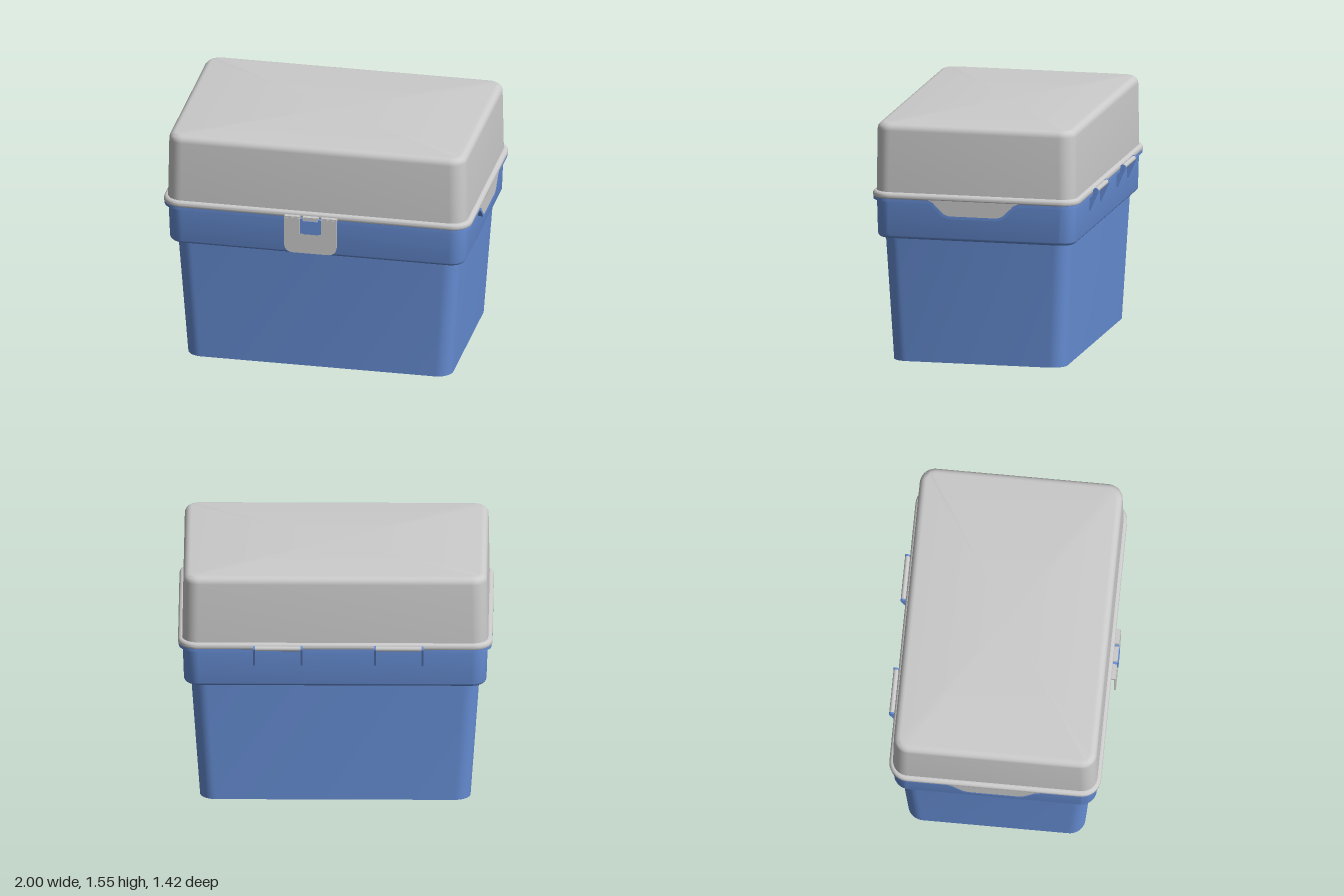
import * as THREE from 'three';
import { mergeVertices, toCreasedNormals } from 'three/addons/utils/BufferGeometryUtils.js';

const grey = new THREE.MeshStandardMaterial({ color: 0xcccccc });
const blue = new THREE.MeshStandardMaterial({ color: 0x6890d8 });
const CORNER = 10;

// One rounded rectangle around the y axis, as points
function ring(y, hx, hz, r) {
  const pts = [];
  const signs = [[1, 1], [-1, 1], [-1, -1], [1, -1]];
  signs.forEach(([sx, sz], q) => {
    for (let i = 0; i <= CORNER; i++) {
      const a = (q + i / CORNER) * Math.PI / 2;
      pts.push([sx * (hx - r) + r * Math.cos(a), y, sz * (hz - r) + r * Math.sin(a)]);
    }
  });
  return pts;
}

// Skin through rounded rectangles [y, halfX, halfZ, radius], listed bottom to top, with end caps
function loft(sections) {
  const rings = sections.map((s) => ring(...s));
  const n = rings[0].length;
  const pos = rings.flat(2);
  const index = [];
  for (let k = 0; k < rings.length - 1; k++) {
    for (let i = 0; i < n; i++) {
      const j = (i + 1) % n;
      const a = k * n + i, b = k * n + j, c = a + n, d = b + n;
      index.push(a, c, b, b, c, d);
    }
  }
  const last = (rings.length - 1) * n;
  const base = rings.length * n;
  pos.push(0, sections[0][0], 0, 0, sections.at(-1)[0], 0);
  for (let i = 0; i < n; i++) {
    const j = (i + 1) % n;
    index.push(base, i, j, base + 1, last + j, last + i);
  }
  const g = new THREE.BufferGeometry();
  g.setAttribute('position', new THREE.Float32BufferAttribute(pos, 3));
  g.setIndex(index);
  return toCreasedNormals(mergeVertices(g), 0.6);
}

// Quarter-round edge: sections turning from the wall inward (dir 1 = top, -1 = bottom)
function roundEdge(y, hx, hz, r, edge, dir) {
  const out = [];
  for (let i = 0; i <= 6; i++) {
    const a = i / 6 * Math.PI / 2;
    const inset = edge * (1 - Math.cos(a));
    out.push([y - dir * edge * (1 - Math.sin(a)), hx - inset, hz - inset, r - inset]);
  }
  return dir > 0 ? out : out.reverse();
}

function extrude(shape, depth, bevel = 0) {
  return new THREE.ExtrudeGeometry(shape, {
    depth, bevelEnabled: bevel > 0, bevelSize: bevel, bevelThickness: bevel, bevelSegments: 2, curveSegments: 10,
  });
}

export function createModel() {
  const model = new THREE.Group();
  const add = (name, geometry, material, x = 0, y = 0, z = 0, parent = model) => {
    const m = new THREE.Mesh(geometry, material);
    m.name = name;
    m.position.set(x, y, z);
    parent.add(m);
    return m;
  };
  const box = (name, material, x0, x1, y0, y1, z0, z1, parent) => add(name,
    new THREE.BoxGeometry(x1 - x0, y1 - y0, z1 - z0), material,
    (x0 + x1) / 2, (y0 + y1) / 2, (z0 + z1) / 2, parent);

  // Tapered tub, its wider collar and the thin flange
  add('tub', loft([[0, 0.86, 0.565, 0.1], [0.83, 0.917, 0.607, 0.1]]), blue);
  add('collar', loft([
    ...roundEdge(0.81, 0.962, 0.647, 0.1, 0.03, -1),
    [1.065, 0.97, 0.652, 0.1],
  ]), blue);
  add('flange', loft([[1.058, 0.995, 0.672, 0.12], [1.08, 0.995, 0.672, 0.12]]), blue);

  // Lid with its rounded rim
  add('lidRim', loft([
    ...roundEdge(1.074, 1, 0.676, 0.125, 0.012, -1),
    ...roundEdge(1.115, 1, 0.676, 0.125, 0.022, 1),
  ]), grey);
  add('lid', loft([
    [1.1, 0.973, 0.653, 0.1],
    ...roundEdge(1.555, 0.966, 0.648, 0.1, 0.045, 1),
  ]), grey);

  // Side grips: a dipping grey flap with a blue lip below it
  const dip = (drop, w) => {
    const half = new THREE.Path();
    half.moveTo(0.29 + w, 1.075 - drop);
    half.quadraticCurveTo(0.265 + w, 1.07 - drop, 0.25 + w, 1.05 - drop);
    half.lineTo(0.205 + w, 1.005 - drop);
    half.quadraticCurveTo(0.18 + w, 0.98 - drop, 0.14, 0.98 - drop);
    const p = half.getPoints(8);
    return [...p, ...p.slice().reverse().map((v) => new THREE.Vector2(-v.x, v.y))];
  };
  const flapShape = new THREE.Shape([new THREE.Vector2(0.29, 1.09), ...dip(0, 0), new THREE.Vector2(-0.29, 1.09)]);
  const lipShape = new THREE.Shape([...dip(0.018, 0.006), ...dip(0, 0).reverse()]);
  for (const side of [-1, 1]) {
    const x = side > 0 ? 0.95 : -0.998;
    add('sideFlap', extrude(flapShape, 0.048).rotateY(Math.PI / 2), grey, x);
    add('sideFlapLip', extrude(lipShape, 0.048).rotateY(Math.PI / 2), blue, x);
  }

  // Front latch: rounded plate with a window, and the catch inside it
  const latch = new THREE.Group();
  latch.name = 'latch';
  model.add(latch);
  const plate = new THREE.Shape();
  plate.moveTo(-0.17, 1.085);
  plate.lineTo(-0.17, 0.905);
  plate.quadraticCurveTo(-0.17, 0.845, -0.11, 0.845);
  plate.lineTo(0.11, 0.845);
  plate.quadraticCurveTo(0.17, 0.845, 0.17, 0.905);
  plate.lineTo(0.17, 1.085);
  plate.lineTo(0.07, 1.085);
  plate.lineTo(0.07, 0.98);
  plate.lineTo(-0.07, 0.98);
  plate.lineTo(-0.07, 1.085);
  add('latchPlate', extrude(plate, 0.012), grey, -0.02, 0, 0.692, latch);
  box('latchHinge', grey, -0.19, -0.09, 1.075, 1.094, 0.66, 0.702, latch);
  box('latchHinge', grey, 0.05, 0.15, 1.075, 1.094, 0.66, 0.702, latch);
  box('catchBack', blue, -0.09, 0.05, 0.98, 1.075, 0.64, 0.68, latch);
  box('catchSide', blue, -0.088, -0.07, 0.98, 1.08, 0.67, 0.702, latch);
  box('catchSide', blue, 0.03, 0.048, 0.98, 1.08, 0.67, 0.702, latch);
  box('catchTongue', blue, -0.07, 0.03, 0.98, 1.07, 0.69, 0.71, latch);
  box('catchBar', grey, -0.07, 0.03, 1.07, 1.094, 0.66, 0.704, latch);

  // Rear hinges: a grey pin held between two blue fins
  const fin = new THREE.Shape();
  fin.moveTo(0.645, 0.96);
  fin.lineTo(0.656, 0.96);
  fin.lineTo(0.709, 1.084);
  fin.absarc(0.692, 1.09, 0.018, -0.34, Math.PI * 0.75);
  fin.lineTo(0.665, 1.07);
  fin.lineTo(0.645, 1.07);
  for (const x of [-0.405, 0.365]) {
    const hinge = new THREE.Group();
    hinge.name = 'hinge';
    hinge.position.x = x;
    model.add(hinge);
    add('hingePin', new THREE.CylinderGeometry(0.016, 0.016, 0.29, 16).rotateZ(Math.PI / 2), grey, 0, 1.09, -0.692, hinge);
    box('hingeTab', grey, -0.14, 0.14, 1.08, 1.1, -0.69, -0.66, hinge);
    for (const fx of [-0.157, 0.145]) {
      add('hingeFin', extrude(fin, 0.012).rotateY(Math.PI / 2), blue, fx, 0, 0, hinge);
    }
  }
  return model;
}
